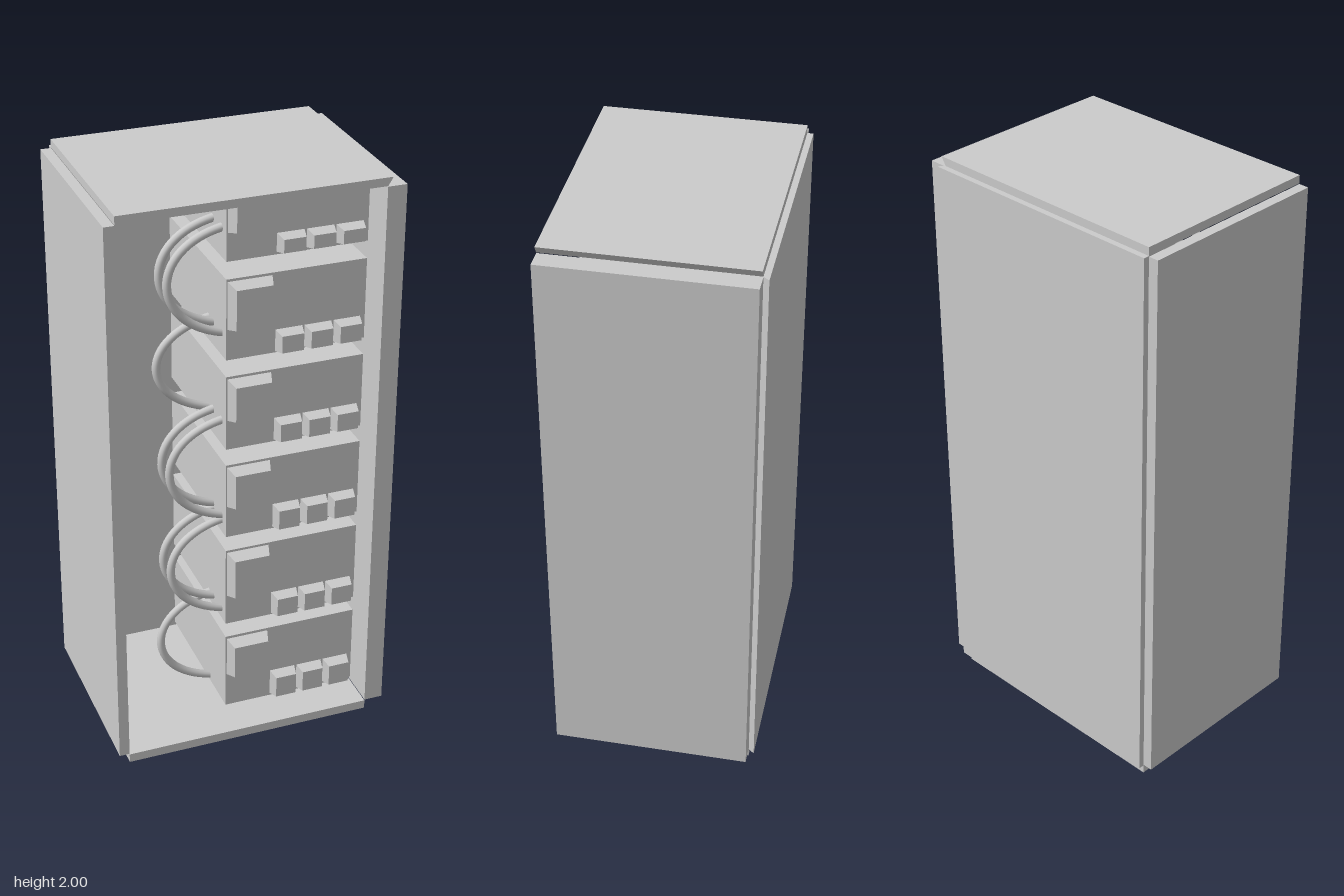
import * as THREE from 'three';

const material = new THREE.MeshStandardMaterial({ color: 0xcccccc, flatShading: true });
const smooth = new THREE.MeshStandardMaterial({ color: 0xcccccc });

function add(parent, name, geometry, mat = material) {
  const mesh = new THREE.Mesh(geometry, mat);
  mesh.name = name;
  parent.add(mesh);
  return mesh;
}

// Box given by its lower and upper limits
function box(parent, name, x0, x1, y0, y1, z0, z1) {
  const mesh = add(parent, name, new THREE.BoxGeometry(x1 - x0, y1 - y0, z1 - z0));
  mesh.position.set((x0 + x1) / 2, (y0 + y1) / 2, (z0 + z1) / 2);
  return mesh;
}

// Push out the right edge of a panel on one face to make a mitred edge
function mitre(mesh, axis, sign, amount) {
  const p = mesh.geometry.attributes.position;
  for (let i = 0; i < p.count; i++) {
    const v = new THREE.Vector3().fromBufferAttribute(p, i);
    if (v.x > 0 && v[axis] * sign > 0) p.setX(i, v.x + amount);
  }
  mesh.geometry.computeVertexNormals();
}

// Key with a face smaller than its base
function key(parent, name, x0, x1, y0, y1, z, depth, inset) {
  const mesh = box(parent, name, x0, x1, y0, y1, z - 0.005, z + depth);
  const p = mesh.geometry.attributes.position;
  for (let i = 0; i < p.count; i++) {
    if (p.getZ(i) <= 0) continue;
    p.setX(i, p.getX(i) - Math.sign(p.getX(i)) * inset);
    p.setY(i, p.getY(i) - Math.sign(p.getY(i)) * inset);
  }
  mesh.geometry.computeVertexNormals();
}

export function createModel() {
  const model = new THREE.Group();
  model.name = 'rackCabinet';

  // Cabinet shell, open at the front
  const shell = new THREE.Group();
  shell.name = 'cabinet';
  model.add(shell);
  box(shell, 'rightPanel', -0.485, -0.45, 0.035, 1.97, -0.325, 0.345);
  box(shell, 'leftPanel', 0.42, 0.485, 0.035, 1.97, -0.325, 0.345);
  box(shell, 'bottomPanel', -0.45, 0.42, 0, 0.032, -0.325, 0.345);
  mitre(box(shell, 'topPanel', -0.45, 0.42, 1.972, 2, -0.325, 0.345), 'y', 1, 0.017);
  mitre(box(shell, 'backPanel', -0.45, 0.42, 0.032, 1.972, -0.345, -0.325), 'z', -1, 0.017);

  // Stacked units: [bottom, top, big key bottom, big key top, small key bottom, small key top]
  const front = 0.215;
  const units = [
    [0.045, 0.335, 0.175, 0.327, 0.053, 0.152],
    [0.39, 0.685, 0.503, 0.678, 0.395, 0.482],
    [0.74, 1.015, 0.855, 1.008, 0.745, 0.835],
    [1.075, 1.34, 1.18, 1.333, 1.08, 1.163],
    [1.4, 1.68, 1.505, 1.673, 1.403, 1.482],
    [1.74, 1.97, 1.835, 1.957, 1.748, 1.813],
  ];
  units.forEach(([y0, y1, b0, b1, s0, s1], n) => {
    const unit = new THREE.Group();
    unit.name = `unit${n + 1}`;
    model.add(unit);
    box(unit, 'unitBody', -0.055, 0.42, y0, y1, -0.325, front);
    key(unit, 'bigKey', -0.052, 0.1, b0, b1, front, 0.045, 0.015);
    for (let i = 0; i < 3; i++) {
      const x = 0.11 + i * 0.1;
      key(unit, 'smallKey', x, x + 0.094, s0, s1, front, 0.04, 0.01);
    }
  });

  // Cables looping between neighbouring units: [top, bottom, depths]
  const loops = [
    [0.42, 0.062, [0.05]],
    [0.787, 0.427, [0.17, 0.09]],
    [1.165, 0.802, [0.17, 0.09]],
    [1.48, 1.15, [0.05]],
    [1.84, 1.478, [0.17, 0.09]],
  ];
  const cables = new THREE.Group();
  cables.name = 'cables';
  model.add(cables);
  for (const [top, bottom, depths] of loops) {
    for (const z of depths) {
      const curve = new THREE.CubicBezierCurve3(
        new THREE.Vector3(-0.045, top, z),
        new THREE.Vector3(-0.298, top - 0.04, z),
        new THREE.Vector3(-0.298, bottom + 0.06, z),
        new THREE.Vector3(-0.045, bottom, z),
      );
      add(cables, 'cable', new THREE.TubeGeometry(curve, 32, 0.014, 10), smooth);
    }
  }
  return model;
}
